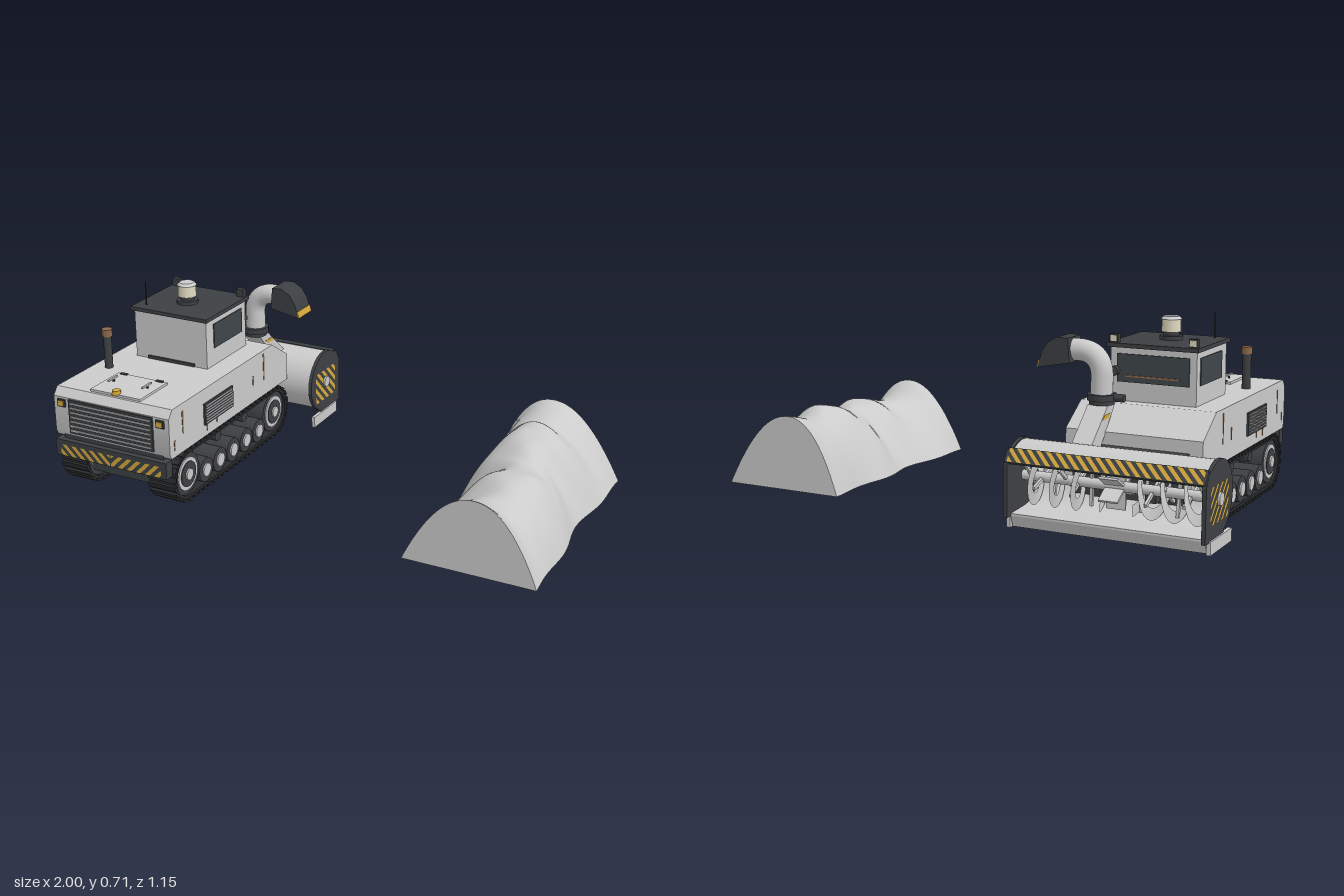
import * as THREE from 'three';
import { mergeGeometries, toCreasedNormals } from 'three/addons/utils/BufferGeometryUtils.js';

const mat = (color, side = THREE.FrontSide) => new THREE.MeshStandardMaterial({ color, side });
const grey = mat(0xcccccc), greyThin = mat(0xcccccc, THREE.DoubleSide), dark = mat(0x3d4043);
const black = mat(0x2b2d2f), glass = mat(0x40464a), rust = mat(0x8c6a4c), lamp = mat(0xe0dac0);
const yellow = mat(0xd6a93c, THREE.DoubleSide);

function add(parent, name, geo, material, x = 0, y = 0, z = 0) {
  const m = new THREE.Mesh(geo, material);
  m.name = name;
  m.position.set(x, y, z);
  parent.add(m);
  return m;
}
const box = (p, name, m, w, h, d, x, y, z) => add(p, name, new THREE.BoxGeometry(w, h, d), m, x, y, z);
const cyl = (p, name, m, r, h, x, y, z, r2 = r, n = 24) =>
  add(p, name, new THREE.CylinderGeometry(r2, r, h, n), m, x, y, z);
function axle(p, name, m, r, w, x, y, z) {
  const a = cyl(p, name, m, r, w, x, y, z, r, 28);
  a.rotation.z = Math.PI / 2;
  return a;
}
const shapeOf = pts => new THREE.Shape(pts.map(p => new THREE.Vector2(p[0], p[1])));

// Extrudes a (z, y) outline across the machine, centred on x
function profile(p, name, m, pts, width, x = 0, hole) {
  const s = shapeOf(pts);
  if (hole) s.holes.push(shapeOf(hole));
  const g = new THREE.ExtrudeGeometry(s, { depth: width, bevelEnabled: false });
  g.rotateY(-Math.PI / 2).translate(width / 2, 0, 0);
  return add(p, name, toCreasedNormals(g, 0.5), m, x);
}
function arc(cz, cy, r, a0, a1, n) {
  return Array.from({ length: n + 1 }, (_, i) => {
    const a = a0 + (a1 - a0) * i / n;
    return [cz + r * Math.cos(a), cy + r * Math.sin(a)];
  });
}

// Diagonal warning stripes clipped to a w x h rectangle centred at the origin
function stripes(w, h, band, flip = false) {
  const shapes = [];
  for (let a = band * 0.5; a < w + h - band * 0.3; a += band * 2) {
    const b = Math.min(a + band, w + h);
    const low = c => [Math.min(c, w), c - Math.min(c, w)];
    const high = c => [c - Math.min(c, h), Math.min(c, h)];
    const pts = [low(a)];
    if (a < w && w < b) pts.push([w, 0]);
    pts.push(low(b), high(b));
    if (a < h && h < b) pts.push([0, h]);
    pts.push(high(a));
    shapes.push(shapeOf(pts.map(q => [(q[0] - w / 2) * (flip ? -1 : 1), q[1] - h / 2])));
  }
  return new THREE.ShapeGeometry(shapes);
}

function buildTrack(parent, side) {
  const g = new THREE.Group();
  g.name = side > 0 ? 'leftTrack' : 'rightTrack';
  g.position.x = side * 0.195;
  parent.add(g);
  const loop = r => [...arc(0.43, 0.106, r, -Math.PI / 2, Math.PI / 2, 18), ...arc(-0.22, 0.106, r, Math.PI / 2, Math.PI * 1.5, 18)];
  profile(g, 'trackBelt', black, loop(0.098), 0.11, 0, loop(0.084));
  // Track shoes spaced along the belt
  const path = shapeOf(loop(0.1));
  path.closePath();
  const shoes = [];
  for (let i = 0; i < 56; i++) {
    const p = path.getPointAt(i / 56), t = path.getTangentAt(i / 56);
    const s = new THREE.BoxGeometry(0.118, 0.012, 0.022);
    s.rotateX(-Math.atan2(t.y, t.x)).translate(0, p.y, p.x);
    shoes.push(s);
  }
  add(g, 'trackShoes', mergeGeometries(shoes), black);
  // End wheels, road wheels and return rollers
  for (const z of [0.43, -0.22]) {
    axle(g, 'endWheel', dark, 0.083, 0.09, 0, 0.106, z);
    axle(g, 'endWheelRim', grey, 0.065, 0.1, 0, 0.106, z);
    axle(g, 'endWheelDisc', dark, 0.05, 0.106, 0, 0.106, z);
    axle(g, 'endWheelHub', grey, 0.022, 0.118, 0, 0.106, z);
  }
  for (let i = 0; i < 5; i++) {
    const z = 0.305 - i * 0.1;
    axle(g, 'roadWheel', dark, 0.048, 0.1, 0, 0.07, z);
    axle(g, 'roadWheelHub', grey, 0.026, 0.112, 0, 0.07, z);
    if (i % 2) axle(g, 'returnRoller', dark, 0.022, 0.09, 0, 0.17, z);
  }
}

function buildBody(v) {
  profile(v, 'hull', grey, [[0.545, 0.215], [0.555, 0.235], [0.555, 0.375], [0.53, 0.405], [-0.2, 0.405], [-0.322, 0.325], [-0.322, 0.215]], 0.506);
  box(v, 'chassis', dark, 0.27, 0.15, 0.82, 0, 0.145, 0.09);
  box(v, 'frontBumper', dark, 0.49, 0.065, 0.04, 0, 0.175, 0.553);
  box(v, 'bumperMount', dark, 0.44, 0.05, 0.1, 0, 0.2, 0.5);
  for (const s of [-1, 1]) add(v, 'bumperStripes', stripes(0.22, 0.044, 0.02, s > 0), yellow, s * 0.112, 0.168, 0.575);
  // Radiator grille, headlamps
  box(v, 'grille', dark, 0.37, 0.135, 0.01, 0, 0.304, 0.557);
  for (let i = 0; i < 7; i++) box(v, 'grilleSlat', grey, 0.355, 0.006, 0.012, 0, 0.25 + i * 0.018, 0.56);
  for (const s of [-1, 1]) {
    box(v, 'headlampHousing', dark, 0.034, 0.03, 0.01, s * 0.217, 0.352, 0.557);
    box(v, 'headlamp', yellow, 0.024, 0.02, 0.014, s * 0.217, 0.352, 0.558);
    // Side vents and rust streaks
    box(v, 'sideVent', dark, 0.01, 0.085, 0.205, s * 0.255, 0.305, 0.22);
    for (let i = 0; i < 7; i++) box(v, 'ventSlat', grey, 0.012, 0.004, 0.19, s * 0.256, 0.272 + i * 0.011, 0.22);
    for (const [z, top, len] of [[0.465, 0.375, 0.09], [0.523, 0.28, 0.04], [-0.13, 0.39, 0.11], [-0.045, 0.325, 0.045], [0.3, 0.262, 0.03], [0.23, 0.262, 0.025]])
      profile(v, 'rustStreak', rust, [[z - 0.005, top], [z - 0.002, top - len], [z + 0.002, top - len], [z + 0.005, top]], 0.002, s * 0.2535);
  }
  // Engine hatch, handle and filler cap
  box(v, 'engineHatch', grey, 0.22, 0.01, 0.18, 0, 0.409, 0.43);
  for (const s of [-1, 1]) {
    box(v, 'hatchHinge', dark, 0.03, 0.012, 0.012, s * 0.08, 0.412, 0.345);
    box(v, 'handlePost', dark, 0.006, 0.018, 0.006, s * 0.075, 0.418, 0.42);
    box(v, 'handleRail', grey, 0.007, 0.006, 0.06, s * 0.075, 0.427, 0.425);
  }
  cyl(v, 'fillerCap', yellow, 0.018, 0.018, 0, 0.418, 0.51, 0.016, 8);
  cyl(v, 'exhaustPipe', dark, 0.016, 0.14, -0.188, 0.47, 0.29);
  cyl(v, 'exhaustTip', rust, 0.02, 0.028, -0.188, 0.547, 0.29);
}

function buildCab(v) {
  const cab = new THREE.Group();
  cab.name = 'cab';
  v.add(cab);
  box(cab, 'cabShell', grey, 0.322, 0.195, 0.292, 0, 0.5, -0.006);
  box(cab, 'cabRoof', dark, 0.342, 0.015, 0.32, 0, 0.603, -0.008);
  box(cab, 'cabBaseGrille', dark, 0.21, 0.012, 0.01, 0, 0.412, 0.142);
  box(cab, 'rearWindow', glass, 0.27, 0.1, 0.008, 0, 0.523, -0.153);
  box(cab, 'wiper', rust, 0.2, 0.006, 0.006, 0, 0.495, -0.158);
  for (const s of [-1, 1]) {
    box(cab, 'sideWindow', glass, 0.008, 0.097, 0.208, s * 0.161, 0.523, -0.016);
    box(cab, 'roofLamp', dark, 0.032, 0.03, 0.022, s * 0.148, 0.626, -0.147);
    box(cab, 'roofLampLens', lamp, 0.024, 0.02, 0.004, s * 0.148, 0.626, -0.159);
  }
  const cam = cyl(cab, 'workLamp', dark, 0.017, 0.025, 0.14, 0.512, -0.165);
  cam.rotation.x = Math.PI / 2;
  cyl(cab, 'antenna', black, 0.003, 0.1, -0.127, 0.655, 0.107, 0.002, 8);
  // Roof beacon
  cyl(cab, 'beaconBase', dark, 0.042, 0.014, 0, 0.618, 0.012);
  cyl(cab, 'beaconNeck', dark, 0.028, 0.016, 0, 0.632, 0.012);
  cyl(cab, 'beaconLens', lamp, 0.036, 0.046, 0, 0.662, 0.012, 0.034, 12);
  cyl(cab, 'beaconCap', grey, 0.038, 0.01, 0, 0.689, 0.012, 0.028);
}

// Open spiral ribbon around the x axis
function ribbon(x0, x1, turns, rIn, rOut) {
  const g = new THREE.PlaneGeometry(1, 1, 96, 1), p = g.attributes.position;
  for (let i = 0; i < p.count; i++) {
    const u = p.getX(i) + 0.5, r = p.getY(i) > 0 ? rOut : rIn, a = u * turns * Math.PI * 2;
    p.setXYZ(i, x0 + (x1 - x0) * u, r * Math.cos(a), r * Math.sin(a));
  }
  g.computeVertexNormals();
  return g;
}

function buildBlower(v) {
  const b = new THREE.Group();
  b.name = 'snowBlower';
  v.add(b);
  const cz = -0.455, cy = 0.18;
  // Curved housing, open toward the working side
  profile(b, 'augerHousing', grey, [...arc(cz, cy, 0.122, 2.35, -Math.PI / 2, 30), [-0.55, 0.052], [-0.55, 0.06], ...arc(cz, cy, 0.114, -Math.PI / 2, 2.35, 30)], 0.71);
  for (const s of [-1, 1]) {
    profile(b, 'endPlate', dark, [...arc(cz, cy, 0.127, -1.2, 2.2, 24), [-0.553, 0.278], [-0.578, 0.235], [-0.578, 0.05], [-0.41, 0.05]], 0.014, s * 0.355);
    const st = add(b, 'endPlateStripes', stripes(0.17, 0.13, 0.021, s < 0), yellow, s * 0.3635, 0.165, -0.453);
    st.rotation.y = s * Math.PI / 2;
    box(b, 'skidShoe', grey, 0.014, 0.045, 0.2, s * 0.361, 0.031, -0.445);
    axle(b, 'augerBearing', grey, 0.022, 0.016, s * 0.363, 0.176, cz);
    add(b, 'augerFlight', ribbon(s * 0.34, s * 0.06, 3.5 , 0.058, 0.1), greyThin, 0, 0.176, cz);
    for (let i = 0; i < 6; i++) {
      const arm = box(b, 'flightArm', grey, 0.01, 0.16, 0.012, s * (0.09 + i * 0.045), 0.176, cz);
      arm.rotation.x = i * 1.1;
    }
    box(b, 'liftArm', dark, 0.04, 0.05, 0.2, s * 0.1, 0.14, -0.3);
  }
  axle(b, 'augerShaft', grey, 0.018, 0.72, 0, 0.176, cz);
  for (let i = 0; i < 3; i++) box(b, 'impellerBlade', grey, 0.07, 0.16, 0.008, 0, 0.176, cz).rotation.x = i * Math.PI / 3;
  box(b, 'scraperBlade', grey, 0.7, 0.045, 0.012, 0, 0.034, -0.535).rotation.x = -0.35;
  box(b, 'mountFrame', dark, 0.41, 0.18, 0.045, 0, 0.19, -0.343);
  // Striped bar over the opening
  const bar = new THREE.Group();
  bar.name = 'warningBar';
  bar.position.set(0, 0.262, -0.556);
  bar.rotation.set(-0.95, 0, 0);
  b.add(bar);
  box(bar, 'barPlate', dark, 0.715, 0.014, 0.055, 0, 0, 0);
  const s = add(bar, 'barStripes', stripes(0.7, 0.05, 0.018), yellow, 0, 0.009, 0);
  s.rotation.x = -Math.PI / 2;
}

function buildChute(v) {
  const c = new THREE.Group();
  c.name = 'dischargeChute';
  c.position.set(0.142, 0, -0.267);
  v.add(c);
  profile(c, 'feedDuct', grey, [[0.028, 0.41], [-0.035, 0.41], [-0.175, 0.285], [-0.15, 0.22], [-0.1, 0.262]], 0.075);
  profile(c, 'ductBand', yellow, [[-0.012, 0.383], [-0.06, 0.383], [-0.077, 0.368], [-0.03, 0.368]], 0.078);
  cyl(c, 'lowerFlange', dark, 0.044, 0.015, 0, 0.418, 0);
  cyl(c, 'slewRing', dark, 0.052, 0.022, 0, 0.436, 0);
  const motor = axle(c, 'slewMotor', dark, 0.014, 0.05, -0.06, 0.436, 0);
  motor.scale.set(1, 1, 1);
  const bend = new THREE.CurvePath();
  const V = (x, y) => new THREE.Vector3(x, y, 0);
  bend.add(new THREE.LineCurve3(V(0, 0.43), V(0, 0.51)));
  bend.add(new THREE.CubicBezierCurve3(V(0, 0.51), V(0, 0.565), V(0.035, 0.594), V(0.085, 0.594)));
  bend.add(new THREE.LineCurve3(V(0.085, 0.594), V(0.12, 0.594)));
  add(c, 'chuteElbow', new THREE.TubeGeometry(bend, 32, 0.039, 24), greyThin);
  // Curved hood, open underneath
  const hood = shapeOf([[0.1, 0.552], [0.108, 0.638], [0.15, 0.64], [0.185, 0.62], [0.208, 0.585], [0.224, 0.53], [0.216, 0.53],
    [0.2, 0.582], [0.18, 0.612], [0.148, 0.631], [0.116, 0.63], [0.11, 0.552]]);
  const cheek = shapeOf([[0.1, 0.552], [0.108, 0.638], [0.15, 0.64], [0.185, 0.62], [0.208, 0.585], [0.224, 0.53]]);
  const slab = (name, shape, d, z) => add(c, name, toCreasedNormals(
    new THREE.ExtrudeGeometry(shape, { depth: d, bevelEnabled: false }), 0.6), dark, 0, 0, z);
  slab('hoodTop', hood, 0.1, -0.05);
  for (const z of [-0.052, 0.044]) slab('hoodCheek', cheek, 0.008, z);
  box(c, 'hoodLip', yellow, 0.004, 0.026, 0.104, 0.222, 0.543, 0).rotation.z = 0.27;
}

function buildSnowBank(root) {
  const bank = new THREE.Group();
  bank.name = 'snowBank';
  root.add(bank);
  const z0 = -0.45, z1 = 0.475, nu = 40, nv = 60;
  const ridge = new THREE.SplineCurve([0.285, 0.268, 0.252, 0.285, 0.272, 0.25, 0.228, 0.238, 0.245, 0.228, 0.215, 0.23, 0.28]
    .map((y, i) => new THREE.Vector2(i, y)));
  // Arched section with a wandering crest and folded flanks
  function point(u, v) {
    const z = z0 + (z1 - z0) * v, t = 2 * u - 1, fade = Math.sin(Math.PI * v);
    const left = 0.505 + 0.022 * fade * (1 + Math.sin(z * 15)) * 0.7;
    const right = 1.0 - 0.02 * fade * (1 + Math.sin(z * 13 + 2)) * 0.7;
    const crest = 0.035 * Math.sin(z * 5 + 0.6) + 0.012 * Math.sin(z * 27);
    const fold = Math.sin(2 * Math.PI * u) * (0.012 * Math.sin(z * 24 + t * 3) + 0.008 * Math.sin(z * 41 - t * 4)) * fade;
    const y = ridge.getPoint(v).y * (1 - Math.abs(t) ** 2.1) + fold * (1 - t * t);
    return [left + (right - left) * u + crest * (1 - t * t), Math.max(0, y), z];
  }
  const g = new THREE.PlaneGeometry(1, 1, nu, nv), p = g.attributes.position;
  for (let i = 0; i < p.count; i++) p.setXYZ(i, ...point(p.getX(i) + 0.5, 0.5 - p.getY(i)));
  g.computeVertexNormals();
  add(bank, 'bankSurface', g, greyThin);
  const row = n => Array.from({ length: n + 1 }, (_, i) => i / n);
  for (const v of [0, 1])
    add(bank, 'bankEnd', new THREE.ShapeGeometry(shapeOf(row(nu).map(u => point(u, v)))), greyThin, 0, 0, v ? z1 : z0);
  const edge = u => row(nv).map(v => point(u, v)).map(q => [q[0], q[2]]);
  add(bank, 'bankBase', new THREE.ShapeGeometry(shapeOf([...edge(0), ...edge(1).reverse()])).rotateX(Math.PI / 2), greyThin);
}

export function createModel() {
  const root = new THREE.Group();
  root.name = 'snowClearingScene';
  const v = new THREE.Group();
  v.name = 'trackedSnowBlower';
  v.position.x = -0.63;
  root.add(v);
  buildBody(v);
  for (const s of [-1, 1]) buildTrack(v, s);
  buildCab(v);
  buildBlower(v);
  buildChute(v);
  buildSnowBank(root);
  return root;
}
